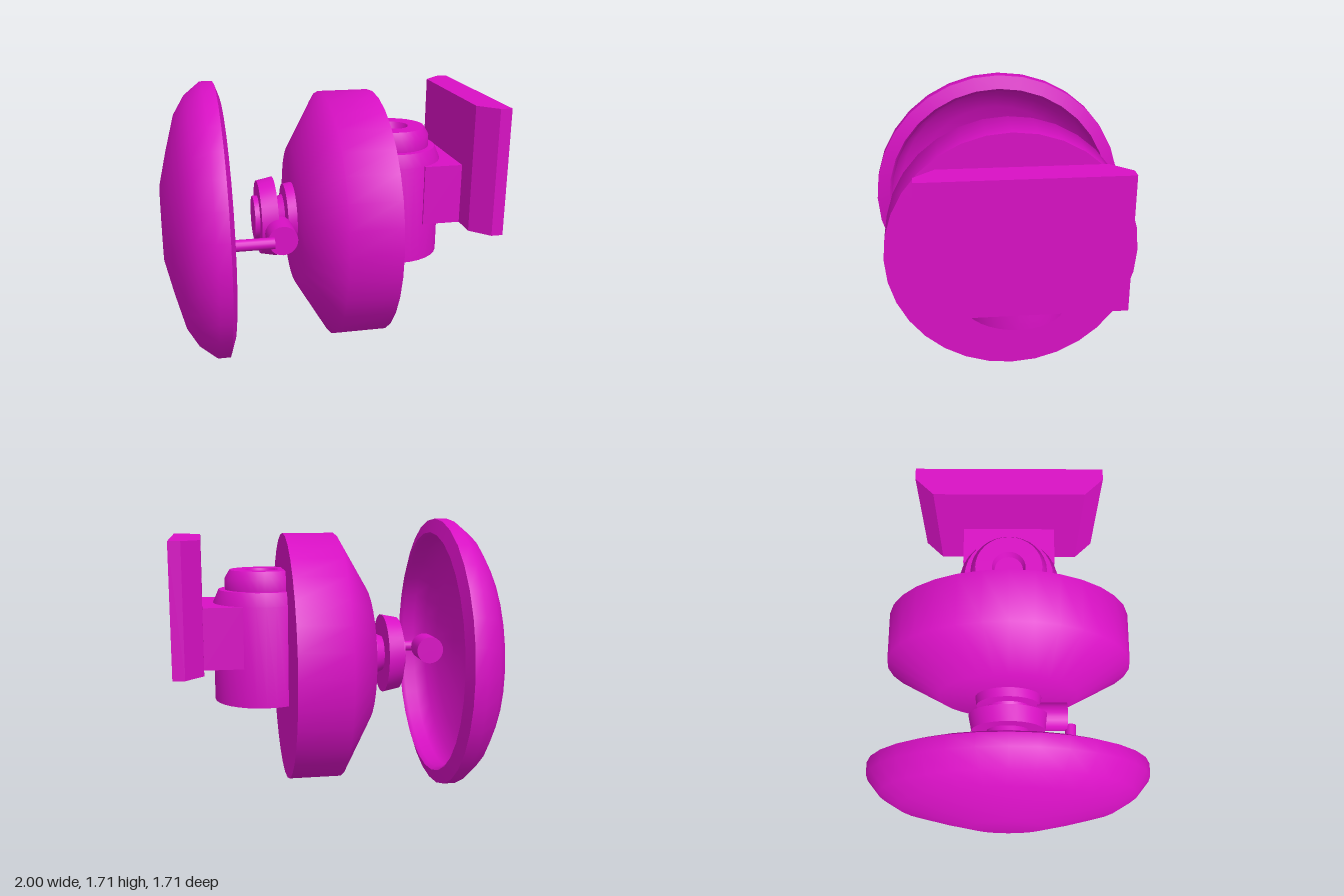
import * as THREE from 'three';
import { toCreasedNormals } from 'three/addons/utils/BufferGeometryUtils.js';

const AXIS_Y = 0.86;

export function createModel() {
  const model = new THREE.Group();
  const material = new THREE.MeshStandardMaterial({ color: 0xd810c4 });

  const add = (name, geometry, x = 0, y = 0, z = 0) => {
    const mesh = new THREE.Mesh(geometry, material);
    mesh.name = name;
    mesh.position.set(x, y, z);
    model.add(mesh);
    return mesh;
  };

  // Profile points are [radius, distance along the axis]
  const lathe = (points, crease) =>
    toCreasedNormals(new THREE.LatheGeometry(points.map(([r, h]) => new THREE.Vector2(r, h)), 32), crease);

  const sideways = (name, points, crease) =>
    add(name, lathe(points, crease).rotateZ(-Math.PI / 2), 0, AXIS_Y, 0);

  // Hollow dish with a bevelled rim
  sideways('dish', [
    [0, -1], [0.23, -1], [0.44, -0.95], [0.66, -0.89], [0.775, -0.82], [0.855, -0.72],
    [0.855, -0.645], [0.77, -0.615], [0.75, -0.64], [0.755, -0.72],
    [0.69, -0.79], [0.58, -0.85], [0.38, -0.91], [0.2, -0.95], [0, -0.95],
  ], 0.9);

  // Main drum, tapered toward the dish
  sideways('drum', [[0, -0.185], [0.44, -0.185], [0.77, 0.01], [0.77, 0.325], [0, 0.325]], 1.08);

  // Stepped hub in front of the drum
  sideways('hub', [
    [0, -0.435], [0.135, -0.435], [0.135, -0.405], [0.23, -0.405], [0.25, -0.305],
    [0.11, -0.305], [0.135, -0.25], [0.2, -0.24], [0.21, -0.18], [0, -0.18],
  ], 0.7);

  // Two pivot pins joined by a thin rod
  for (const [name, x, z0, z1] of [['dishPivot', -0.69, 0.19, 0.36], ['drumPivot', -0.3, 0.18, 0.37]]) {
    add(name, new THREE.CylinderGeometry(0.09, 0.09, z1 - z0, 24).rotateX(Math.PI / 2), x, 0.83, (z0 + z1) / 2);
  }
  add('linkRod', new THREE.CylinderGeometry(0.035, 0.035, 0.3, 16).rotateZ(Math.PI / 2), -0.505, 0.83, 0.39);

  // Upright post with stepped cap and a recessed centre
  add('post', lathe([
    [0, 0.6], [0.305, 0.6], [0.305, 1.21], [0.27, 1.29], [0.23, 1.29], [0.23, 1.36],
    [0.2, 1.41], [0.1, 1.41], [0.085, 1.37], [0, 1.37],
  ], 0.7), 0.455, 0, 0);

  // Arm from the post to the mounting plate
  add('arm', new THREE.BoxGeometry(0.24, 0.37, 0.57), 0.71, 1.025, 0);

  // Mounting plate with chamfered inner edges, extruded upward
  const outline = new THREE.Shape([
    [0.825, -0.445], [0.93, -0.555], [1, -0.555], [1, 0.555], [0.93, 0.555], [0.825, 0.445],
  ].map(([x, z]) => new THREE.Vector2(x, z)));
  const plate = new THREE.ExtrudeGeometry(outline, { depth: 0.77, bevelEnabled: false });
  add('mountingPlate', plate.rotateX(-Math.PI / 2), 0, 0.84, 0);

  return model;
}
